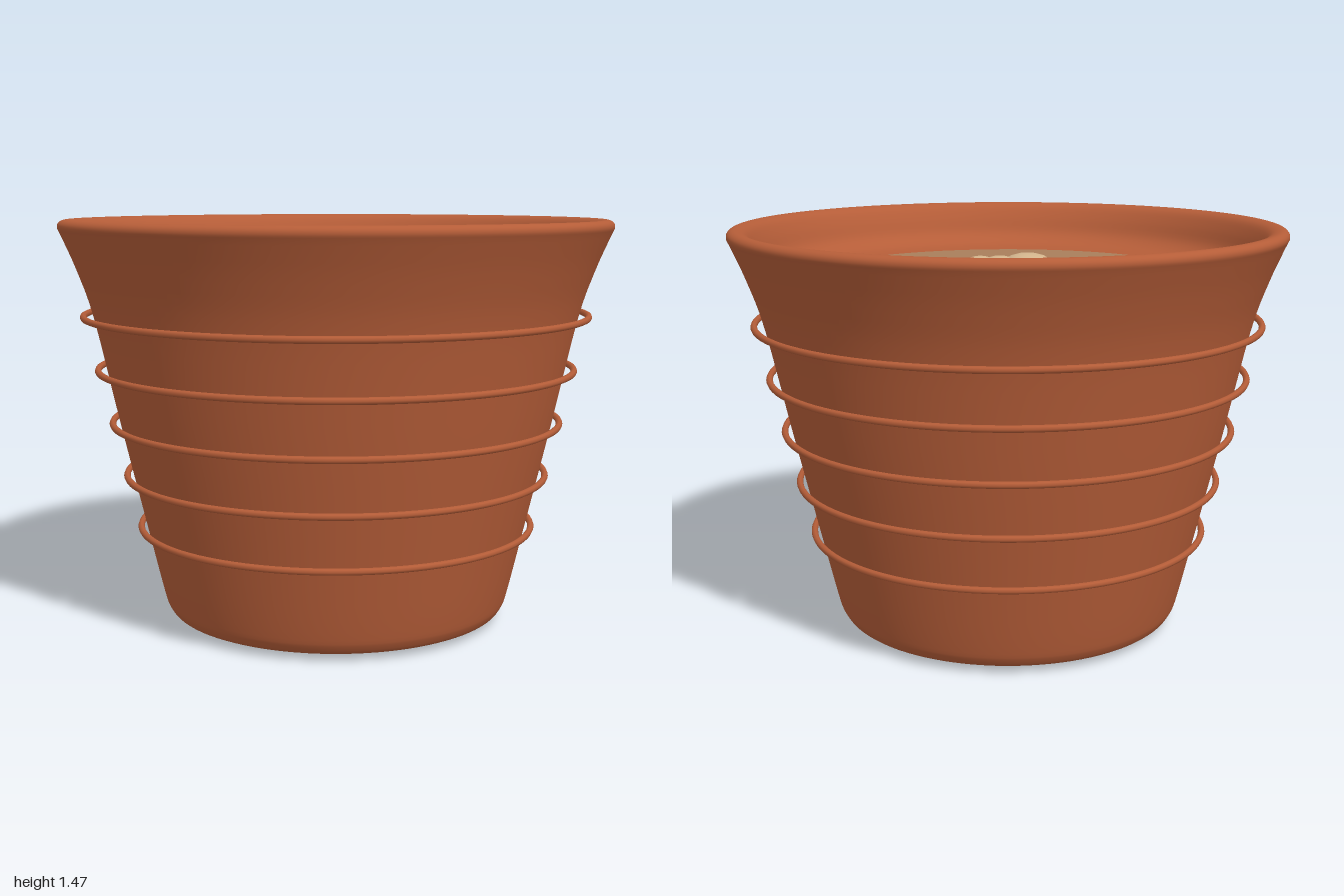
import * as THREE from 'three';

const SOIL_Y = 1.3;

export function createModel() {
  const terracotta = new THREE.MeshStandardMaterial({ name: 'terracotta', color: 0xb55d38 });
  const soilTan = new THREE.MeshStandardMaterial({ name: 'soilTan', color: 0xa97e5b });
  const pebbleBeige = new THREE.MeshStandardMaterial({ name: 'pebbleBeige', color: 0xd2b48c });

  const model = new THREE.Group();
  model.name = 'flowerPot';
  const add = (name, geometry, material, parent = model) => {
    const mesh = new THREE.Mesh(geometry, material);
    mesh.name = name;
    parent.add(mesh);
    return mesh;
  };

  // Pot wall: base, tapered side, flared lip and the shallow inner slope
  const profile = new THREE.SplineCurve([
    [0, 0], [0.3, 0.003], [0.52, 0.01], [0.6, 0.022], [0.63, 0.05], [0.65, 0.11],
    [0.705, 0.345], [0.795, 0.735], [0.88, 1.12], [0.935, 1.29], [0.985, 1.41],
    [1, 1.445], [0.99, 1.465], [0.965, 1.47], [0.93, 1.455], [0.9, 1.41],
    [0.87, 1.35], [0.82, 1.315], [0.76, 1.302], [0.69, 1.297],
  ].map(([r, y]) => new THREE.Vector2(r, y)));
  const points = profile.getPoints(76);
  points[0].set(0, 0);
  add('potBody', new THREE.LatheGeometry(points, 96), terracotta);

  // Thin hoops standing just off the wall
  const hoops = new THREE.Group();
  hoops.name = 'hoops';
  model.add(hoops);
  for (let i = 0; i < 5; i++) {
    const hoop = add(`hoop${i + 1}`, new THREE.TorusGeometry(0.728 + i * 0.0475, 0.012, 8, 96), terracotta, hoops);
    hoop.rotation.x = Math.PI / 2;
    hoop.position.y = 0.345 + i * 0.195;
  }

  // Soil surface
  const soil = add('soil', new THREE.CircleGeometry(0.7, 72), soilTan);
  soil.rotation.x = -Math.PI / 2;
  soil.position.y = SOIL_Y;

  // Flattened pebbles half sunk in the soil: x, z, radius
  const pebbles = new THREE.Group();
  pebbles.name = 'pebbles';
  model.add(pebbles);
  const pebbleShape = new THREE.SphereGeometry(1, 12, 8);
  [
    [0.07, -0.43, 0.092], [-0.5, -0.265, 0.054], [0.325, -0.165, 0.064],
    [0.32, -0.125, 0.045], [0.56, -0.175, 0.06], [-0.05, -0.1, 0.075],
    [-0.045, -0.025, 0.05], [0.05, -0.07, 0.06], [0.04, -0.015, 0.053],
    [0.05, 0.105, 0.074], [-0.24, 0.12, 0.092], [-0.27, 0.155, 0.06],
    [-0.16, 0.19, 0.068], [-0.125, 0.26, 0.06],
  ].forEach(([x, z, r], i) => {
    const pebble = add(`pebble${i + 1}`, pebbleShape, pebbleBeige, pebbles);
    pebble.position.set(x, SOIL_Y, z);
    pebble.scale.set(r, r * 0.42, r);
  });

  return model;
}
